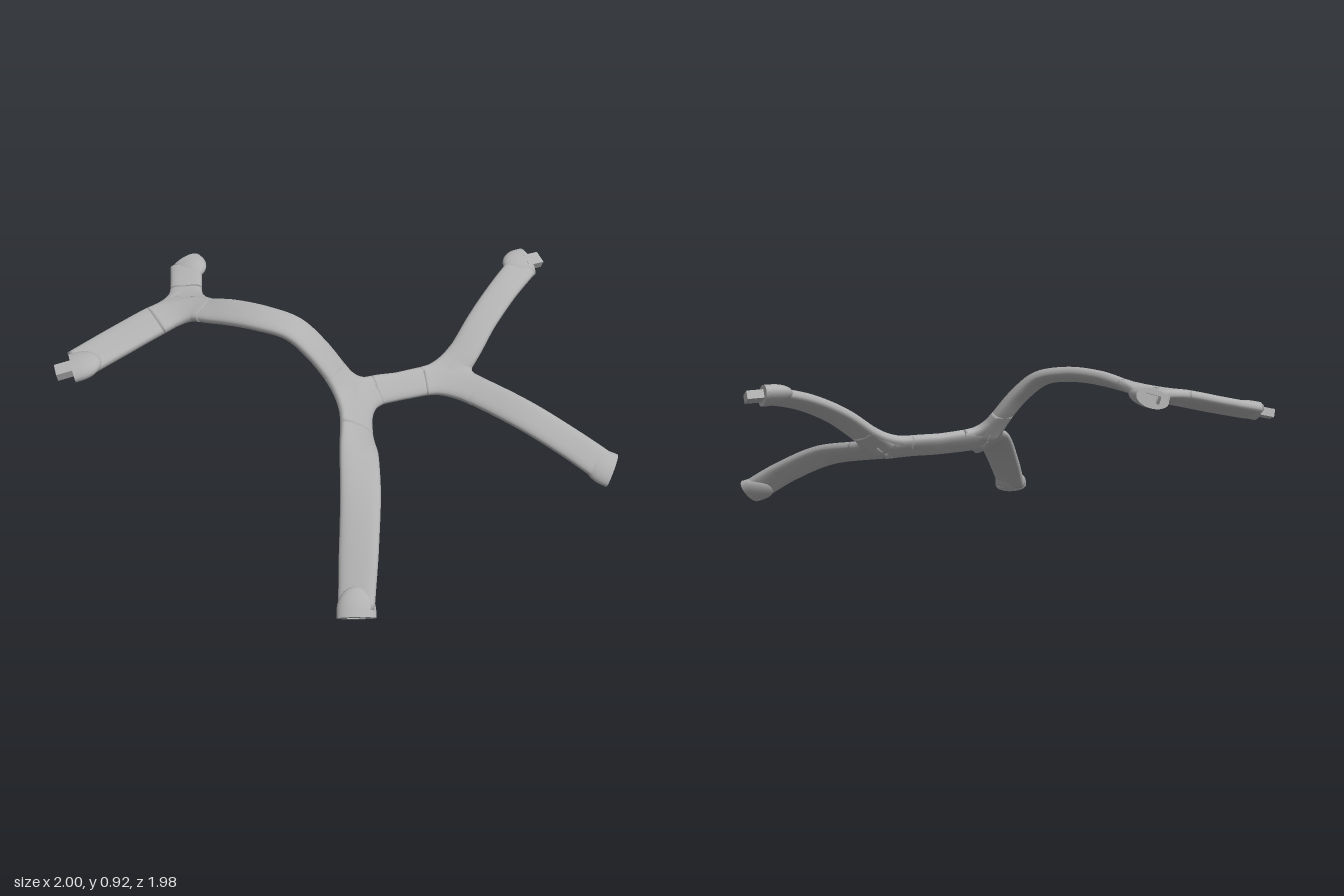
import * as THREE from 'three';

const grey = new THREE.MeshStandardMaterial({ color: 0xb0b0b0 });
grey.name = 'grey';
const THICK = 0.05;

// Flat rounded strap through rows of [x, y, z, normal x, normal y, normal z, width]
function strap(name, rows, steps = 40) {
  const path = new THREE.CatmullRomCurve3(rows.map(r => new THREE.Vector3(r[0], r[1], r[2])));
  const ups = new THREE.CatmullRomCurve3(rows.map(r => new THREE.Vector3(r[3], r[4], r[5]).normalize()));
  const sides = 24, pos = [], index = [];
  for (let i = -1; i <= steps + 1; i++) {
    const u = THREE.MathUtils.clamp(i / steps, 0, 1);
    const scale = i < 0 || i > steps ? 0 : 1;
    const c = path.getPoint(u), t = path.getTangent(u), n = ups.getPoint(u);
    n.addScaledVector(t, -n.dot(t)).normalize();
    const s = n.clone().cross(t);
    const f = u * (rows.length - 1), k = Math.min(Math.floor(f), rows.length - 2);
    const w = THREE.MathUtils.lerp(rows[k][6], rows[k + 1][6], f - k);
    for (let j = 0; j < sides; j++) {
      const a = (j / sides) * Math.PI * 2, ca = Math.cos(a), sa = Math.sin(a);
      const p = c.clone()
        .addScaledVector(s, scale * Math.sign(ca) * Math.abs(ca) ** 0.7 * w / 2)
        .addScaledVector(n, scale * Math.sign(sa) * Math.abs(sa) ** 0.7 * THICK / 2);
      pos.push(p.x, p.y, p.z);
    }
  }
  for (let i = 0; i < steps + 2; i++) {
    for (let j = 0; j < sides; j++) {
      const a = i * sides + j, b = i * sides + (j + 1) % sides;
      index.push(a, b, b + sides, a, b + sides, a + sides);
    }
  }
  const g = new THREE.BufferGeometry();
  g.setAttribute('position', new THREE.Float32BufferAttribute(pos, 3));
  g.setIndex(index);
  g.computeVertexNormals();
  const m = new THREE.Mesh(g, grey);
  m.name = name;
  return m;
}

// Curved web that rounds the inner corner between two arms of a junction
function web(a, node, b) {
  const rows = [0, 0.25, 0.5, 0.75, 1].map(u =>
    node.map((v, i) => (1 - u) ** 2 * a[i] + 2 * u * (1 - u) * v + u * u * b[i]));
  return strap('junctionWeb', rows, 20);
}

// Domed end pad: flat oval face with a socket slot or a peg
function pad(name, center, normal, long, peg) {
  const group = new THREE.Group();
  group.name = name;
  const z = new THREE.Vector3(...normal).normalize();
  const x = new THREE.Vector3(...long);
  x.addScaledVector(z, -x.dot(z)).normalize();
  group.setRotationFromMatrix(new THREE.Matrix4().makeBasis(x, z.clone().cross(x), z));
  group.position.set(...center);
  const add = (part, geo) => {
    const m = new THREE.Mesh(geo, grey);
    m.name = part;
    group.add(m);
  };
  const rx = 0.078, ry = 0.039, d = 0.025;
  const oval = new THREE.Shape().absellipse(0, 0, rx, ry, 0, Math.PI * 2);
  if (!peg) {
    const hole = new THREE.Path();
    hole.moveTo(-0.036, -0.016).lineTo(-0.036, 0.016).lineTo(0.036, 0.016).lineTo(0.036, -0.016).closePath();
    oval.holes.push(hole);
  }
  add('padFace', new THREE.ExtrudeGeometry(oval, { depth: d, bevelEnabled: false, curveSegments: 24 }).translate(0, 0, -d));
  add('padDome', new THREE.SphereGeometry(1, 28, 10, 0, Math.PI * 2, 0, Math.PI / 2)
    .rotateX(-Math.PI / 2).scale(rx, ry, 0.1).translate(0, 0, -d));
  add('slotFloor', new THREE.CircleGeometry(1, 28).scale(rx, ry, 1).translate(0, 0, -d + 0.001));
  if (peg) add('peg', new THREE.BoxGeometry(0.062, 0.036, 0.08).translate(0, 0, 0.03));
  return group;
}

export function createModel() {
  const model = new THREE.Group();
  model.name = 'branchingStrapFrame';

  // The three junctions
  const A = [-0.16, 0.52, 0.05, -0.05, 0.62, 0.75, 0.14];
  const B = [0.27, 0.51, 0.22, -0.42, 0.66, 0.6, 0.13];
  const C = [-0.37, 0.82, -0.72, -0.28, 0.93, 0.2, 0.14];

  // Straps between and out of the junctions
  const bridge = [A,
    [-0.04, 0.52, 0.075, -0.2, 0.62, 0.75, 0.135],
    [0.06, 0.515, 0.12, -0.25, 0.62, 0.75, 0.125],
    [0.17, 0.515, 0.175, -0.32, 0.64, 0.68, 0.13], B];
  const spine = [A,
    [-0.19, 0.635, -0.03, 0.05, 0.6, 0.78, 0.14],
    [-0.225, 0.735, -0.105, 0, 0.65, 0.75, 0.135],
    [-0.265, 0.815, -0.195, -0.25, 0.9, 0.35, 0.13],
    [-0.315, 0.845, -0.33, -0.45, 0.9, 0.05, 0.13],
    [-0.35, 0.845, -0.48, -0.5, 0.86, 0, 0.13],
    [-0.37, 0.83, -0.6, -0.4, 0.9, 0.1, 0.13], C];
  const longLeg = [A,
    [-0.285, 0.46, 0.165, 0.25, 0.78, 0.6, 0.165],
    [-0.42, 0.425, 0.285, -0.1, 0.93, 0.35, 0.165],
    [-0.57, 0.345, 0.41, -0.3, 0.9, 0.2, 0.165],
    [-0.74, 0.195, 0.535, -0.5, 0.8, 0.2, 0.16],
    [-0.875, 0.05, 0.63, -0.6, 0.75, 0.25, 0.145]];
  const sideArm = [B,
    [0.38, 0.595, 0.24, -0.53, 0.72, 0.42, 0.135],
    [0.52, 0.695, 0.235, -0.5, 0.75, 0.42, 0.13],
    [0.7, 0.785, 0.225, -0.42, 0.8, 0.43, 0.13],
    [0.89, 0.845, 0.208, -0.35, 0.82, 0.47, 0.135]];
  const frontLeg = [B,
    [0.3, 0.475, 0.38, -0.5, 0.68, 0.5, 0.135],
    [0.335, 0.415, 0.6, -0.55, 0.68, 0.46, 0.135],
    [0.405, 0.31, 0.8, -0.56, 0.67, 0.46, 0.135],
    [0.47, 0.215, 0.935, -0.56, 0.67, 0.46, 0.14]];
  const rearArmRight = [C,
    [-0.52, 0.785, -0.765, -0.33, 0.88, 0.33, 0.155],
    [-0.7, 0.735, -0.815, -0.34, 0.88, 0.34, 0.155],
    [-0.89, 0.685, -0.86, -0.35, 0.87, 0.35, 0.15]];
  const rearArmLeft = [C,
    [-0.275, 0.84, -0.81, -0.26, 0.94, 0.2, 0.14],
    [-0.2, 0.86, -0.88, -0.25, 0.95, 0.2, 0.14],
    [-0.14, 0.873, -0.94, -0.25, 0.95, 0.2, 0.14]];
  const straps = { bridge, spine, longLeg, sideArm, frontLeg, rearArmRight, rearArmLeft };
  for (const [name, rows] of Object.entries(straps)) model.add(strap(name, rows));

  // Rounded corners at the junctions
  const towardB = bridge[3], towardC = spine[6];
  const corners = [
    [A, bridge[1], spine[1], longLeg[1]],
    [B, towardB, sideArm[1], frontLeg[1]],
    [C, towardC, rearArmRight[1], rearArmLeft[1]],
  ];
  for (const [node, p, q, r] of corners) model.add(web(p, node, q), web(q, node, r), web(r, node, p));

  // End pads
  model.add(
    pad('longLegPad', [-0.892, 0.032, 0.645], [-0.5, -0.76, 0.42], [0.1, -0.02, 0.12], false),
    pad('frontLegPad', [0.485, 0.2, 0.965], [0.45, -0.35, 0.82], [0.13, 0.11, -0.02], false),
    pad('sideArmPad', [0.925, 0.85, 0.205], [0.93, 0, 0.35], [0.04, 0.08, -0.13], true),
    pad('rearArmRightPad', [-0.922, 0.68, -0.86], [-0.75, -0.2, -0.6], [0.1, 0.06, -0.11], true),
    pad('rearArmLeftPad', [-0.115, 0.877, -0.965], [0.3, 0.1, -0.95], [0.16, 0.06, 0.05], false),
  );
  return model;
}
